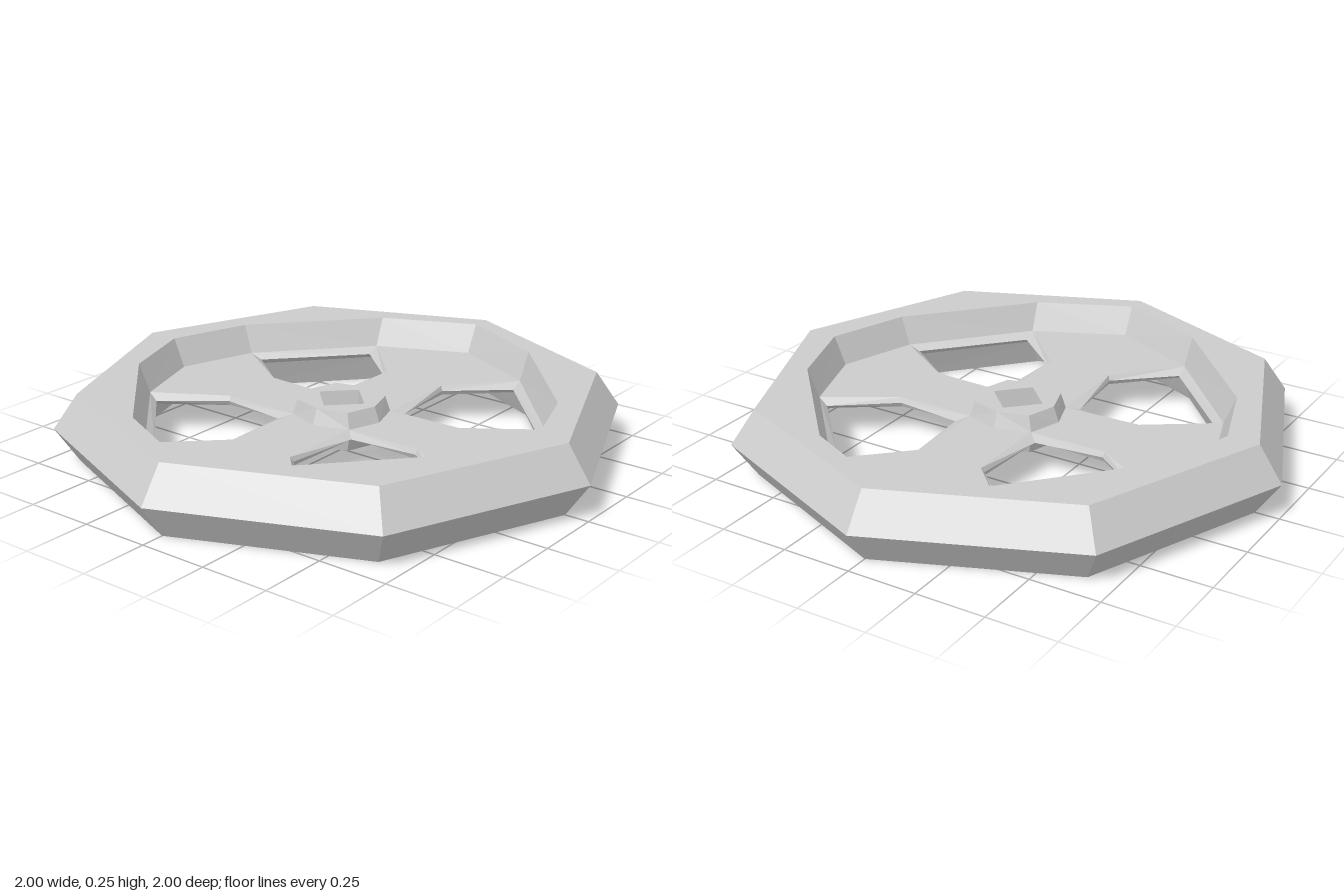
import * as THREE from 'three';

const MID = 0.126; // height of the wheel's mid plane
const material = new THREE.MeshStandardMaterial({ color: 0xcccccc, flatShading: true });

// Joins successive cross-section loops [x, height above mid, z] of one quarter,
// then mirrors the patch into every requested quarter, above and below mid plane.
function mirroredMesh(name, bands, xSigns = [1, -1], zSigns = [1, -1]) {
  const pos = [];
  const va = new THREE.Vector3(), vb = new THREE.Vector3(), vc = new THREE.Vector3();
  const tri = (a, b, c, s) => {
    va.fromArray(a); vb.fromArray(b); vc.fromArray(c);
    if (vb.sub(va).cross(vc.sub(va)).length() < 1e-7) return;
    const order = s[0] * s[1] * s[2] > 0 ? [a, b, c] : [a, c, b];
    for (const p of order) pos.push(p[0] * s[0], MID + p[1] * s[1], p[2] * s[2]);
  };
  for (const sx of xSigns) for (const sy of [1, -1]) for (const sz of zSigns) {
    const s = [sx, sy, sz];
    for (const loops of bands)
      for (let i = 0; i + 1 < loops.length; i++)
        for (let j = 0; j + 1 < loops[i].length; j++) {
          const a = loops[i], b = loops[i + 1];
          tri(a[j], b[j], b[j + 1], s);
          tri(a[j], b[j + 1], a[j + 1], s);
        }
  }
  const geo = new THREE.BufferGeometry();
  geo.setAttribute('position', new THREE.Float32BufferAttribute(pos, 3));
  geo.computeVertexNormals();
  const mesh = new THREE.Mesh(geo, material);
  mesh.name = name;
  return mesh;
}

export function createModel() {
  const group = new THREE.Group();
  group.name = 'wheel';

  // Points shared by the rim, spokes and hub
  const lip = [[0.755, 0.022, 0], [0.66, 0.022, 0.28], [0.33, 0.022, 0.645], [0, 0.022, 0.795]];
  const openX = [0.62, 0, 0.29], openZ = [0.33, 0, 0.6], openHub = [0.162, 0, 0.155];
  const hubX = [0.165, 0.015, 0], hubCorner = [0.125, 0.015, 0.118], hubZ = [0, 0.015, 0.16];

  // Eight-sided rim with a twelve-sided inner edge
  const outer = [[1, 0, 0], [0.707, 0, 0.707], [0.707, 0, 0.707], [0, 0, 1]];
  const shoulder = [[0.914, 0.125, 0], [0.646, 0.125, 0.646], [0.646, 0.125, 0.646], [0, 0.125, 0.914]];
  const inner = [[0.8, 0.125, 0], [0.7, 0.125, 0.29], [0.335, 0.125, 0.69], [0, 0.125, 0.845]];
  group.add(mirroredMesh('rim', [
    [outer, shoulder, inner, lip],
    [[lip[1], lip[2]], [openX, openZ]], // ledge between the spokes
  ]));

  // Flared spokes: centre line, top edge, bevelled side
  const spokeX = [
    [hubX, [0.42, 0.018, 0], lip[0]],
    [hubCorner, [0.415, 0.018, 0.122], lip[1]],
    [openHub, [0.41, 0, 0.13], openX],
  ];
  const spokeZ = [
    [lip[3], [0, 0.018, 0.44], hubZ],
    [lip[2], [0.125, 0.018, 0.435], hubCorner],
    [openZ, [0.132, 0, 0.428], openHub],
  ];
  group.add(mirroredMesh('leftSpoke', [spokeX], [1], [1, -1]));
  group.add(mirroredMesh('rightSpoke', [spokeX], [-1], [1, -1]));
  group.add(mirroredMesh('frontSpoke', [spokeZ], [1, -1], [1]));
  group.add(mirroredMesh('backSpoke', [spokeZ], [1, -1], [-1]));

  // Eight-sided hub with a square axle hole pinched in the middle
  const hole = (r, h) => [[r, h, 0], [r / 2, h, r / 2], [0, h, r]];
  group.add(mirroredMesh('hub', [[
    [hubX, hubCorner, hubZ],
    [[0.145, 0.07, 0], [0.11, 0.07, 0.108], [0, 0.07, 0.14]],
    hole(0.1, 0.07),
    hole(0.09, 0),
  ]]));

  return group;
}
